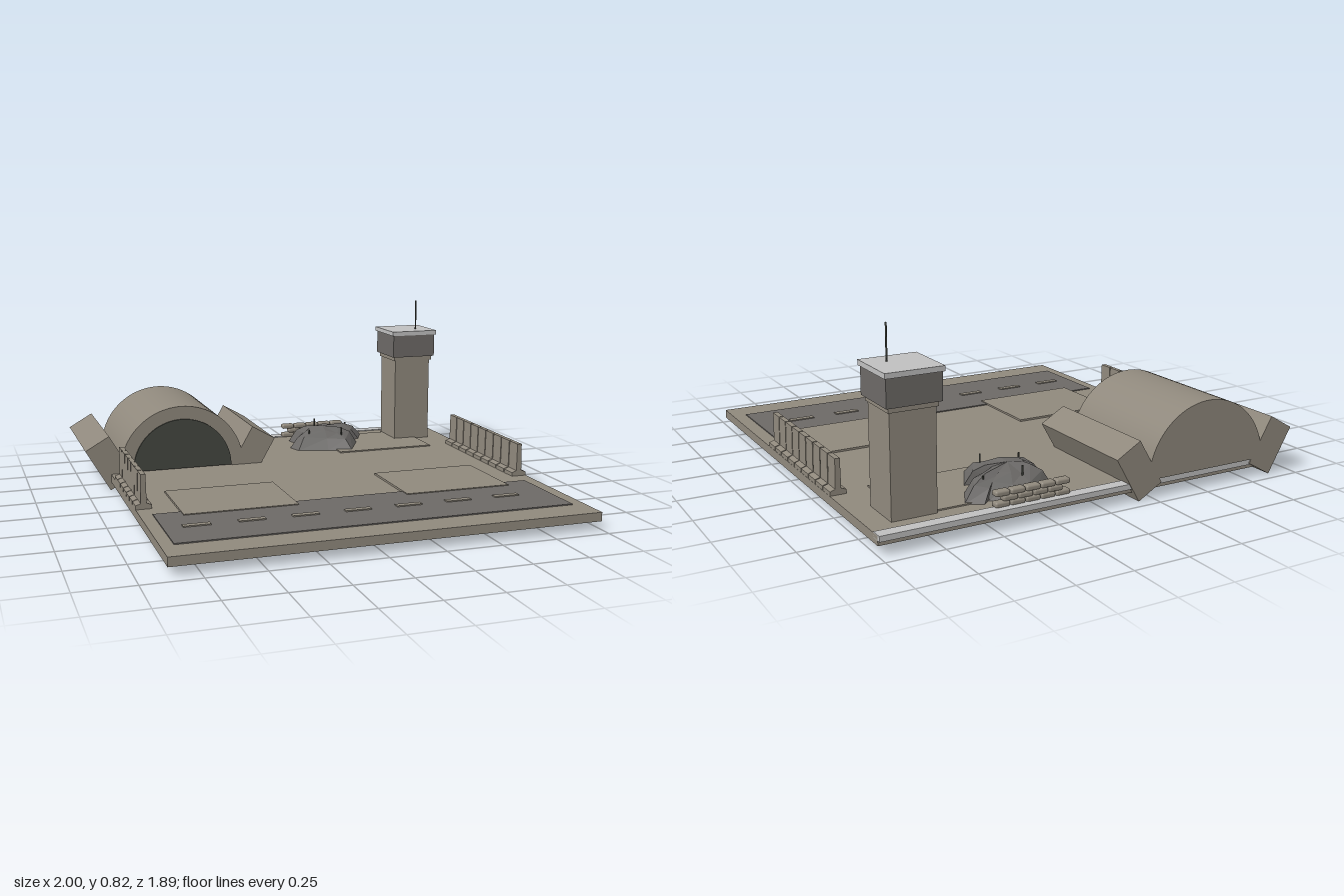
import * as THREE from 'three';
import { RoundedBoxGeometry } from 'three/addons/geometries/RoundedBoxGeometry.js';

const mat = (name, color, extra = {}) => {
  const m = new THREE.MeshStandardMaterial({ color, ...extra });
  m.name = name;
  return m;
};

export function createModel() {
  const root = new THREE.Group();
  root.name = 'airfield';
  const sand = mat('sand concrete', 0x8f887c);
  const asphalt = mat('asphalt grey', 0x6c6966);
  const pale = mat('pale grey', 0xbfbfbf);
  const dark = mat('dark olive', 0x43463f);
  const net = mat('netting grey', 0x6a6866, { side: THREE.DoubleSide, flatShading: true });

  const add = (name, geometry, material, parent = root) => {
    const m = new THREE.Mesh(geometry, material);
    m.name = name;
    parent.add(m);
    return m;
  };
  // Box given by its lower and upper limits on each axis
  const box = (name, material, x0, x1, y0, y1, z0, z1, parent) => {
    const m = add(name, new THREE.BoxGeometry(x1 - x0, y1 - y0, z1 - z0), material, parent);
    m.position.set((x0 + x1) / 2, (y0 + y1) / 2, (z0 + z1) / 2);
    return m;
  };
  const group = (name) => {
    const g = new THREE.Group();
    g.name = name;
    root.add(g);
    return g;
  };

  // Ground, kerb, runway and pads
  box('groundSlab', sand, -0.88, 0.998, 0.04, 0.08, -0.93, 0.945);
  box('backKerb', pale, -0.88, 0.998, 0.06, 0.084, -0.945, -0.89);
  box('runway', asphalt, -0.825, 0.937, 0.079, 0.085, 0.38, 0.805);
  for (let i = 0; i < 7; i++) {
    const x = -0.745 + i * 0.235;
    box('runwayDash', sand, x, x + 0.118, 0.084, 0.09, 0.58, 0.61);
  }
  box('leftPad', sand, 0.315, 0.82, 0.079, 0.089, 0.045, 0.44);
  box('rightPad', sand, -0.705, -0.195, 0.079, 0.089, 0.045, 0.44);
  box('backPad', sand, 0.315, 0.82, 0.079, 0.086, -0.815, -0.43);

  // Hangar: half barrel with a dark door and slanted buttresses
  const hangar = group('hangar');
  const barrel = (name, r, len, z, material) => {
    const g = new THREE.CylinderGeometry(r, r, len, 48, 1, false, Math.PI / 2, Math.PI);
    g.rotateX(Math.PI / 2);
    add(name, g, material, hangar).position.set(-0.53, 0.085, z);
  };
  barrel('hangarShell', 0.306, 0.585, -0.6575, sand);
  barrel('hangarDoor', 0.243, 0.009, -0.361, dark);
  for (const s of [-1, 1]) {
    const b = add('buttress', new THREE.BoxGeometry(0.132, 0.23, 0.585), sand, hangar);
    b.position.set(-0.53 + s * 0.355, 0.134, -0.6575);
    b.rotation.z = -s * Math.PI / 6;
  }

  // Control tower
  const tower = group('controlTower');
  const block = (name, w, y0, y1, material) =>
    box(name, material, 0.8 - w / 2, 0.8 + w / 2, y0, y1, -0.735 - w / 2, -0.735 + w / 2, tower);
  block('towerShaft', 0.196, 0.08, 0.53, sand);
  block('towerCollar', 0.212, 0.512, 0.535, sand);
  block('towerCab', 0.235, 0.533, 0.65, asphalt);
  block('towerRoof', 0.25, 0.65, 0.672, pale);
  add('antenna', new THREE.CylinderGeometry(0.004, 0.004, 0.155, 8), dark, tower)
    .position.set(0.842, 0.7475, -0.697);

  // Blast walls: rows of upright panels on wide feet
  const profile = new THREE.Shape([
    [-0.036, 0], [0.036, 0], [0.036, 0.018], [0.013, 0.026], [0.011, 0.155],
    [-0.011, 0.155], [-0.013, 0.026], [-0.036, 0.018],
  ].map(([x, y]) => new THREE.Vector2(x, y)));
  const wall = (name, x, z0, z1, count) => {
    const g = group(name);
    const pitch = (z1 - z0) / count;
    const geo = new THREE.ExtrudeGeometry(profile, { depth: pitch - 0.006, bevelEnabled: false });
    for (let i = 0; i < count; i++) {
      add('wallPanel', geo, sand, g).position.set(x, 0.08, z0 + i * pitch + 0.003);
    }
  };
  wall('leftBlastWall', 0.961, -0.463, 0.283, 9);
  wall('rightBlastWall', -0.844, -0.265, 0.283, 7);

  // Draped net: outline shrunk inward in rising rings
  const outline = [
    [0.147, -0.783], [0.286, -0.885], [0.377, -0.865], [0.468, -0.815], [0.5, -0.845],
    [0.57, -0.805], [0.52, -0.703], [0.425, -0.65], [0.479, -0.623], [0.393, -0.463],
    [0.275, -0.505], [0.126, -0.548], [0.104, -0.623], [0.168, -0.692],
  ];
  const rings = [[1, 0.08], [0.78, 0.137], [0.5, 0.162], [0, 0.176]];
  const n = outline.length, pos = [], idx = [];
  rings.forEach(([s, y], r) => outline.forEach(([x, z], i) => {
    const ripple = r === 1 || r === 2 ? 0.008 * Math.sin(i * 2.4 + r) : 0;
    pos.push(0.3 + (x - 0.3) * s, y + ripple, -0.68 + (z + 0.68) * s);
    if (r < rings.length - 1) {
      const a = r * n + i, b = r * n + (i + 1) % n;
      idx.push(a, a + n, b);
      if (r < rings.length - 2) idx.push(b, a + n, b + n);
    }
  }));
  const netGeo = new THREE.BufferGeometry();
  netGeo.setAttribute('position', new THREE.Float32BufferAttribute(pos, 3));
  netGeo.setIndex(idx);
  // Wind the faces so they look outward
  for (let i = 0; i < idx.length; i += 3) {
    const [a, b, c] = [0, 1, 2].map((k) => new THREE.Vector3().fromArray(pos, idx[i + k] * 3));
    if (b.sub(a).cross(c.sub(a)).y < 0) {
      netGeo.index.setX(i + 1, idx[i + 2]);
      netGeo.index.setX(i + 2, idx[i + 1]);
    }
  }
  const drape = netGeo.toNonIndexed();
  drape.computeVertexNormals();
  add('camouflageNet', drape, net);
  for (const [x, top, z] of [[0.2, 0.176, -0.6], [0.295, 0.193, -0.79], [0.365, 0.186, -0.56], [0.46, 0.168, -0.76]]) {
    add('netPole', new THREE.CylinderGeometry(0.004, 0.004, top - 0.08, 6), dark)
      .position.set(x, (top + 0.08) / 2, z);
  }

  // Sandbag wall in staggered courses
  const bags = group('sandbagWall');
  const bagGeo = new RoundedBoxGeometry(0.066, 0.024, 0.04, 2, 0.009);
  for (let row = 0; row < 3; row++) {
    const count = row % 2 ? 4 : 5;
    for (let i = 0; i < count; i++) {
      add('sandbag', bagGeo, sand, bags)
        .position.set(0.313 + (i - (count - 1) / 2) * 0.07, 0.093 + row * 0.023, -0.893);
    }
  }
  return root;
}
